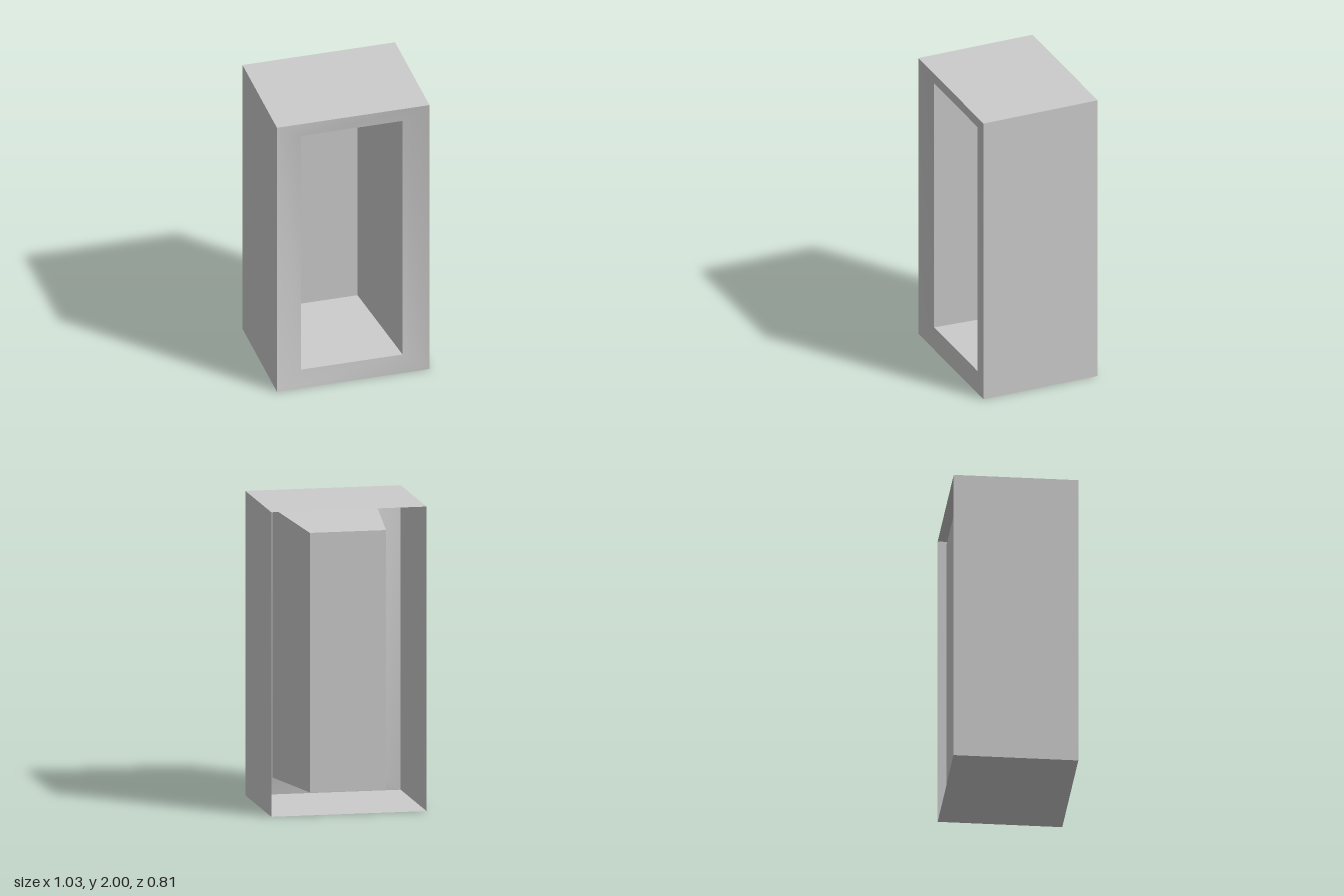
import * as THREE from 'three';

// Rectangular loop of four corners, anticlockwise seen from the front
const loop = (halfWidth, bottom, top, z) => [
  [-halfWidth, bottom, z], [halfWidth, bottom, z], [halfWidth, top, z], [-halfWidth, top, z],
];

// Four-sided band of quads joining loop a to loop b
function band(name, a, b, smooth = false) {
  const index = [];
  for (let i = 0; i < 4; i++) {
    const j = (i + 1) % 4;
    index.push(i, j, j + 4, i, j + 4, i + 4);
  }
  return surface(name, [...a, ...b], index, smooth);
}

function surface(name, points, index, smooth = false) {
  let geometry = new THREE.BufferGeometry();
  geometry.setAttribute('position', new THREE.Float32BufferAttribute(points.flat(), 3));
  geometry.setIndex(index);
  if (!smooth) geometry = geometry.toNonIndexed();
  geometry.computeVertexNormals();
  const material = new THREE.MeshStandardMaterial({ color: 0xcccccc, side: THREE.DoubleSide });
  const mesh = new THREE.Mesh(geometry, material);
  mesh.name = name;
  return mesh;
}

export function createModel() {
  const group = new THREE.Group();
  group.name = 'nicheCabinet';

  const outerBack = loop(0.513, 0, 2, -0.405);
  const outerFront = loop(0.513, 0, 2, 0.405);
  const rim = loop(0.342, 0.118, 1.888, 0.37);
  const nicheBack = loop(0.252, 0.145, 1.85, -0.375);

  group.add(
    // Thin casing, open at the back
    band('casing', outerBack, outerFront),
    // Front frame, dished slightly towards the opening
    band('frontFrame', outerFront, rim, true),
    // Tapered niche walls and the panel closing them
    band('nicheWalls', rim, nicheBack),
    surface('nicheBackPanel', nicheBack, [0, 1, 2, 0, 2, 3]),
  );
  return group;
}
